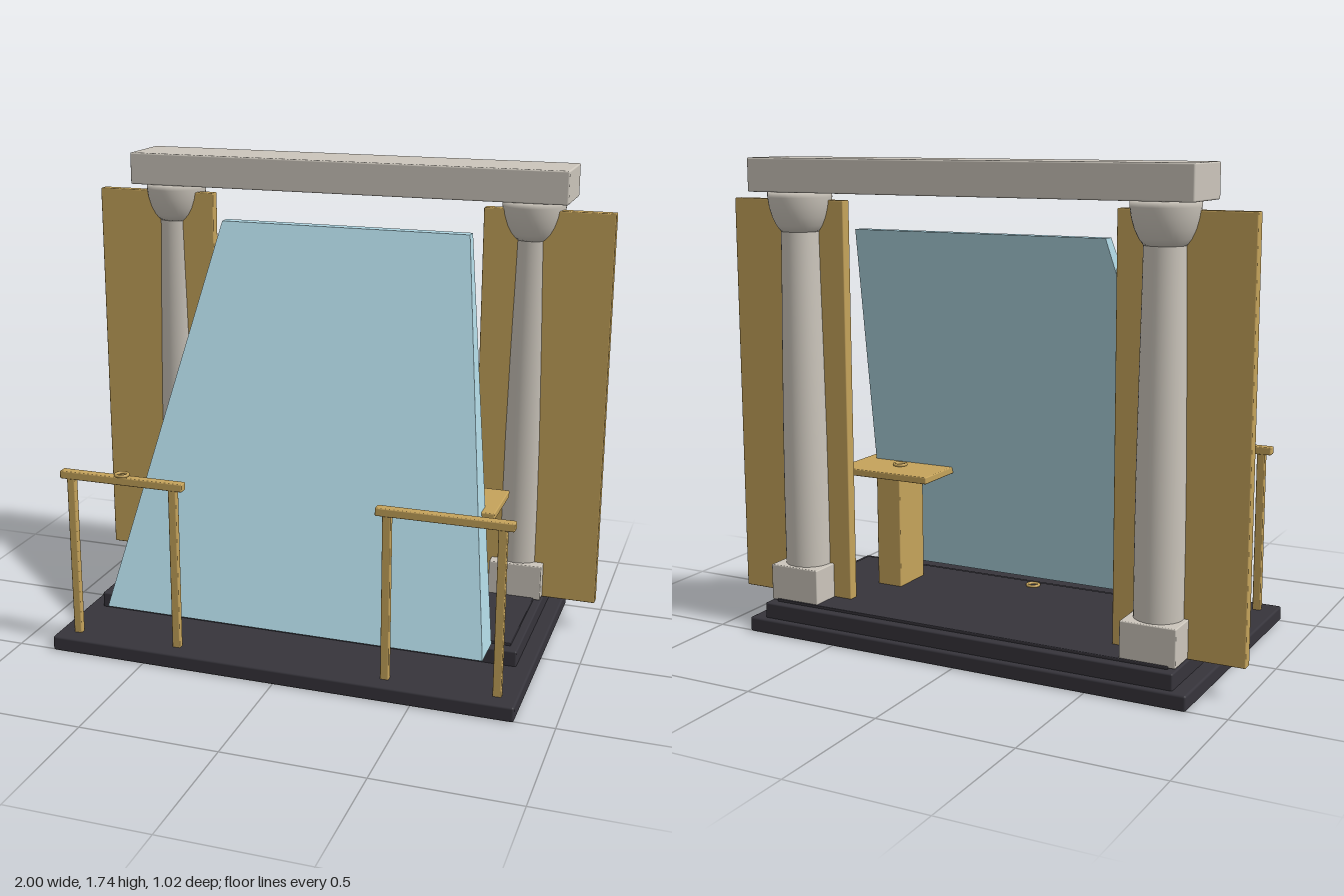
import * as THREE from 'three';
import { RoundedBoxGeometry } from 'three/addons/geometries/RoundedBoxGeometry.js';

export function createModel() {
  const model = new THREE.Group();
  const mat = (name, color) => {
    const m = new THREE.MeshStandardMaterial({ color });
    m.name = name;
    return m;
  };
  const stone = mat('pale stone', 0xcbc5bb);
  const gold = mat('gold', 0xc5a35b);
  const dark = mat('dark slate', 0x36343b);
  const glass = mat('pale blue glass', 0xaed5e1);

  const add = (name, geo, material, parent = model) => {
    const mesh = new THREE.Mesh(geo, material);
    mesh.name = name;
    parent.add(mesh);
    return mesh;
  };
  // Box given by its limits on each axis, with slightly softened edges
  const box = (name, material, [x0, x1], [y0, y1], [z0, z1], parent = model, r = 0.004) => {
    const mesh = add(name, new RoundedBoxGeometry(x1 - x0, y1 - y0, z1 - z0, 2, r), material, parent);
    mesh.position.set((x0 + x1) / 2, (y0 + y1) / 2, (z0 + z1) / 2);
    return mesh;
  };
  const ring = (name, x, y, z, flat = true) => {
    const mesh = add(name, new THREE.TorusGeometry(0.022, 0.006, 8, 24), gold);
    mesh.position.set(x, y, z);
    if (flat) mesh.rotation.x = Math.PI / 2;
    return mesh;
  };

  // Stepped base
  box('basePlinth', dark, [-0.86, 0.86], [0, 0.055], [-0.51, 0.51], model, 0.008);
  box('baseStep', dark, [-0.805, 0.805], [0.05, 0.112], [-0.488, 0.207], model, 0.006);
  box('floorSlab', dark, [-0.775, 0.775], [0.106, 0.122], [-0.455, 0.165], model, 0.003);

  // Columns with square feet and flared capitals, and the side panels
  const v = (x, y) => new THREE.Vector2(x, y);
  const shaft = [v(0.085, 0.24), v(0.085, 0.5), v(0.083, 0.75), v(0.078, 1.05), v(0.073, 1.3), v(0.07, 1.485)];
  const capital = [v(0, 1.478), v(0.07, 1.478), v(0.086, 1.5), v(0.1, 1.53), v(0.11, 1.565), v(0.115, 1.6), v(0.115, 1.62), v(0, 1.62)];
  for (const s of [-1, 1]) {
    const side = new THREE.Group();
    side.name = s > 0 ? 'leftColumn' : 'rightColumn';
    model.add(side);
    const cx = s * 0.7, cz = -0.35;
    box('columnFoot', stone, [cx - 0.1, cx + 0.1], [0.115, 0.25], [cz - 0.1, cz + 0.1], side);
    for (const [name, pts] of [['columnShaft', shaft], ['columnCapital', capital]]) {
      add(name, new THREE.LatheGeometry(pts, 40), stone, side).position.set(cx, 0, cz);
    }
    const xs = s > 0 ? [0.527, 1] : [-1, -0.527];
    box(s > 0 ? 'leftPanel' : 'rightPanel', gold, xs, [0.112, 1.59], [-0.337, -0.297]);
  }

  // Beam across the columns
  box('lintel', stone, [-0.84, 0.84], [1.62, 1.74], [-0.47, -0.235], model, 0.006);

  // Leaning glass slab: a box whose ends are narrowed and slanted
  const slab = new THREE.BoxGeometry(1, 1, 1);
  const p = slab.attributes.position;
  for (let i = 0; i < p.count; i++) {
    const top = p.getY(i) > 0, front = p.getZ(i) > 0;
    const z = top ? (front ? -0.28 : -0.326) : (front ? 0.345 : 0.2);
    p.setXYZ(i, Math.sign(p.getX(i)) * (top ? 0.483 : 0.713), top ? 1.49 : 0.127, z);
  }
  slab.computeVertexNormals();
  add('glassSlab', slab, glass);

  // Front railings
  for (const s of [-1, 1]) {
    const rail = new THREE.Group();
    rail.name = s > 0 ? 'leftRailing' : 'rightRailing';
    model.add(rail);
    const cx = s * 0.59;
    box('handrail', gold, [cx - 0.238, cx + 0.238], [0.655, 0.684], [0.417, 0.453], rail);
    for (const d of [-0.198, 0.198]) {
      box('railPost', gold, [cx + d - 0.015, cx + d + 0.015], [0.05, 0.66], [0.423, 0.449], rail);
    }
  }

  // Lectern beside the glass
  box('lecternPedestal', gold, [0.442, 0.543], [0.115, 0.55], [-0.122, 0.05]);
  box('lecternTop', gold, [0.3, 0.685], [0.547, 0.573], [-0.168, 0.092]);

  // Small rings
  ring('lecternRing', 0.49, 0.578, -0.037);
  ring('railingRing', -0.59, 0.69, 0.434);
  ring('floorRing', 0, 0.125, 0.12);
  ring('panelRing', -0.58, 0.83, -0.292, false);

  return model;
}
